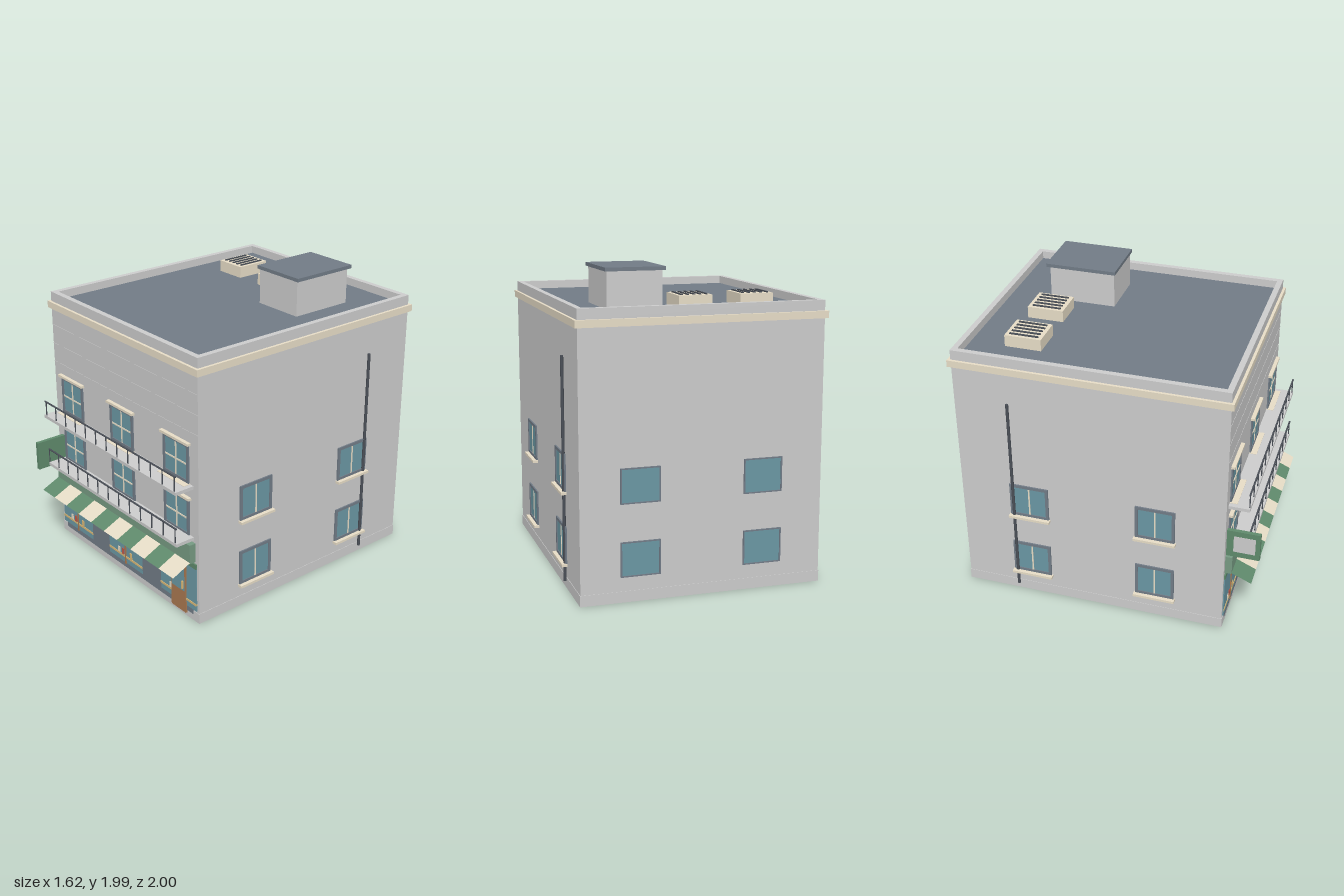
import * as THREE from 'three';

const mat = (color) => new THREE.MeshStandardMaterial({ color });
const M = {
  wall: mat(0xcccccc), cream: mat(0xe6dcc6), slate: mat(0x717b86), glass: mat(0x6a97a3),
  green: mat(0x769a82), darkGreen: mat(0x5f8a6c), dark: mat(0x4a4f57), wood: mat(0xa87850),
  shelf: mat(0xd8b878), red: mat(0xc0584a),
};
const awningMats = [0x5f8a6c, 0xe6dcc6].map((color) =>
  new THREE.MeshStandardMaterial({ color, side: THREE.DoubleSide }));

// Box given by its minimum and maximum on each axis
function box(parent, name, material, x0, x1, y0, y1, z0, z1) {
  const m = new THREE.Mesh(new THREE.BoxGeometry(x1 - x0, y1 - y0, z1 - z0), material);
  m.position.set((x0 + x1) / 2, (y0 + y1) / 2, (z0 + z1) / 2);
  m.name = name;
  parent.add(m);
  return m;
}

function group(parent, name) {
  const g = new THREE.Group();
  g.name = name;
  parent.add(g);
  return g;
}

// Rectangular ring standing on y0
function ring(parent, name, material, x, z0, z1, t, y0, y1) {
  const g = group(parent, name);
  box(g, name + 'Front', material, -x, x, y0, y1, z1 - t, z1);
  box(g, name + 'Back', material, -x, x, y0, y1, z0, z0 + t);
  for (const s of [-1, 1]) {
    const c = s * (x - t / 2);
    box(g, name + 'Side', material, c - t / 2, c + t / 2, y0, y1, z0 + t, z1 - t);
  }
}

// Window facing +z with its wall plane at z = 0
function makeWindow(w, y0, y1, { frame = 0.02, transom, lintel, sill, mullion = true }) {
  const g = new THREE.Group();
  g.name = 'window';
  const h = w / 2;
  box(g, 'windowPane', M.glass, -h + frame, h - frame, y0 + frame, y1 - frame, -0.01, 0.004);
  for (const s of [-1, 1]) {
    const c = s * (h - frame / 2);
    box(g, 'windowJamb', M.slate, c - frame / 2, c + frame / 2, y0, y1, -0.01, 0.01);
  }
  box(g, 'windowHead', M.slate, -h, h, y1 - frame, y1, -0.01, 0.01);
  box(g, 'windowFoot', M.slate, -h, h, y0, y0 + frame, -0.01, 0.01);
  if (mullion) box(g, 'mullion', M.cream, -0.005, 0.005, y0 + frame, y1 - frame, 0, 0.008);
  if (transom) box(g, 'transom', M.cream, -h + frame, h - frame, transom - 0.005, transom + 0.005, 0, 0.008);
  if (lintel) box(g, 'lintel', M.cream, -h - 0.015, h + 0.015, y1 - 0.002, y1 + 0.014, 0, 0.025);
  if (sill) box(g, 'sill', M.cream, -h - 0.008, h + 0.008, y0 - 0.015, y0 + 0.002, 0, sill);
  return g;
}

function rod(parent, name, material, r, length, x, y, z, alongX) {
  const m = new THREE.Mesh(new THREE.CylinderGeometry(r, r, length, 10), material);
  if (alongX) m.rotation.z = Math.PI / 2;
  m.position.set(x, y, z);
  m.name = name;
  parent.add(m);
}

export function createModel() {
  const root = new THREE.Group();
  root.name = 'shopBuilding';
  const X = 0.775, ZB = -0.98, ZF = 0.785;

  // Body, plinth, roof deck, parapet and cornice
  box(root, 'walls', M.wall, -X, X, 0, 1.73, ZB, ZF);
  box(root, 'plinth', M.wall, -X - 0.003, X + 0.003, 0, 0.07, ZB - 0.003, ZF + 0.003);
  box(root, 'roofDeck', M.slate, -0.74, 0.74, 1.72, 1.738, -0.945, 0.75);
  ring(root, 'parapet', M.wall, X, ZB, ZF, 0.037, 1.725, 1.79);
  ring(root, 'cornice', M.cream, 0.793, -1.0, 0.803, 0.03, 1.68, 1.725);
  for (const y of [1.3, 1.43, 1.56])
    box(root, 'facadeJoint', M.wall, -X, X, y - 0.002, y + 0.002, ZF, ZF + 0.002);

  // Stair house on the roof
  const house = group(root, 'stairHouse');
  box(house, 'stairHouseWalls', M.wall, 0.162, 0.513, 1.73, 1.972, -0.665, -0.225);
  box(house, 'stairHouseCap', M.slate, 0.147, 0.528, 1.97, 1.993, -0.688, -0.215);

  // Roof vents with slats
  for (const x of [-0.435, -0.035]) {
    const vent = group(root, 'roofVent');
    box(vent, 'ventBox', M.cream, x - 0.108, x + 0.108, 1.73, 1.815, -0.715, -0.475);
    for (let i = -2; i <= 2; i++)
      box(vent, 'ventSlat', M.dark, x + i * 0.04 - 0.006, x + i * 0.04 + 0.006, 1.81, 1.822, -0.69, -0.5);
  }

  // Front windows and the balconies below them
  for (const [y0, y1, slabY, t] of [[0.595, 0.85, 0.58, 0.713], [0.955, 1.215, 0.932, 1.08]]) {
    for (const x of [-0.565, 0, 0.565]) {
      const w = makeWindow(0.25, y0, y1, { transom: t, lintel: true, sill: 0.05 });
      w.position.set(x, 0, ZF);
      root.add(w);
    }
    const b = group(root, 'balcony');
    box(b, 'balconySlab', M.wall, -0.73, 0.728, slabY, slabY + 0.022, ZF, 0.92);
    const top = slabY + 0.125, foot = slabY + 0.022;
    rod(b, 'handrail', M.dark, 0.006, 1.44, 0, top - 0.004, 0.914, true);
    for (let i = -6; i <= 6; i++)
      rod(b, 'baluster', M.dark, 0.004, top - foot, i * 0.118, (top + foot) / 2, 0.914);
  }

  // Side windows and drainpipes
  for (const s of [-1, 1]) {
    for (const z of [0.33, -0.515])
      for (const [y0, y1] of [[0.16, 0.4], [0.622, 0.863]]) {
        const w = makeWindow(0.262, y0, y1, { sill: 0.035 });
        w.rotation.y = s * Math.PI / 2;
        w.position.set(s * X, 0, z);
        root.add(w);
      }
    rod(root, 'drainpipe', M.dark, 0.01, 1.425, s * 0.785, 0.757, -0.623);
  }

  // Back windows
  for (const x of [-0.385, 0.4])
    for (const [y0, y1] of [[0.16, 0.38], [0.615, 0.835]]) {
      const w = makeWindow(0.25, y0, y1, { frame: 0.008, mullion: false });
      w.rotation.y = Math.PI;
      w.position.set(x, 0, ZB);
      root.add(w);
    }

  // Shopfront: panes, piers, shelves and goods
  const shop = group(root, 'shopfront');
  box(shop, 'shopBase', M.slate, -0.72, 0.72, 0.045, 0.085, ZF, 0.791);
  box(shop, 'shopHead', M.darkGreen, -0.755, 0.755, 0.385, 0.42, ZF, 0.794);
  for (const x of [-0.29, 0.29])
    box(shop, 'shopPier', M.slate, x - 0.1, x + 0.1, 0.07, 0.4, ZF, 0.794);
  for (const [x0, x1] of [[-0.755, -0.39], [-0.19, 0.19], [0.39, 0.755]]) {
    const c = (x0 + x1) / 2;
    box(shop, 'shopPane', M.glass, x0, x1, 0.08, 0.4, ZF, 0.792);
    box(shop, 'displayShelf', M.shelf, x0, x1, 0.12, 0.135, ZF, 0.796);
    if (c < 0.3) box(shop, 'shopMullion', M.wood, c - 0.005, c + 0.005, 0.075, 0.39, ZF, 0.798);
    for (const [dx, h, m] of [[-0.075, 0.04, M.cream], [-0.03, 0.045, M.red], [0.06, 0.045, M.shelf]])
      if (c < 0.3 || dx < -0.05)
        box(shop, 'displayGoods', m, c + dx - 0.011, c + dx + 0.011, 0.135, 0.135 + h, ZF, 0.796);
  }

  // Door
  const door = group(root, 'door');
  box(door, 'doorLeaf', M.wood, 0.51, 0.657, 0.025, 0.385, ZF, 0.8);
  box(door, 'doorPane', M.glass, 0.522, 0.645, 0.18, 0.38, 0.79, 0.803);
  box(door, 'doorHandle', M.shelf, 0.631, 0.641, 0.2, 0.255, 0.8, 0.815);

  // Fascia board and striped sloping awning
  box(root, 'fascia', M.green, -0.745, 0.742, 0.435, 0.565, ZF, 0.83);
  const awning = group(root, 'awning');
  const top = [0.445, 0.825], low = [0.385, 0.96], step = 0.1487;
  const slope = Math.hypot(low[1] - top[1], top[0] - low[0]);
  for (let i = 0; i < 10; i++) {
    const stripe = new THREE.Mesh(new THREE.PlaneGeometry(step, slope), awningMats[i % 2]);
    stripe.rotation.x = -Math.atan2(low[1] - top[1], top[0] - low[0]);
    stripe.position.set(-0.745 + (i + 0.5) * step, (top[0] + low[0]) / 2, (top[1] + low[1]) / 2);
    stripe.name = 'awningStripe';
    awning.add(stripe);
  }

  // Blank projecting board at the corner
  const board = group(root, 'projectingBoard');
  box(board, 'boardPanel', M.darkGreen, -0.732, -0.706, 0.57, 0.768, ZF, 1.0);
  box(board, 'boardInset', M.wall, -0.734, -0.73, 0.61, 0.73, 0.83, 0.97);
  return root;
}
